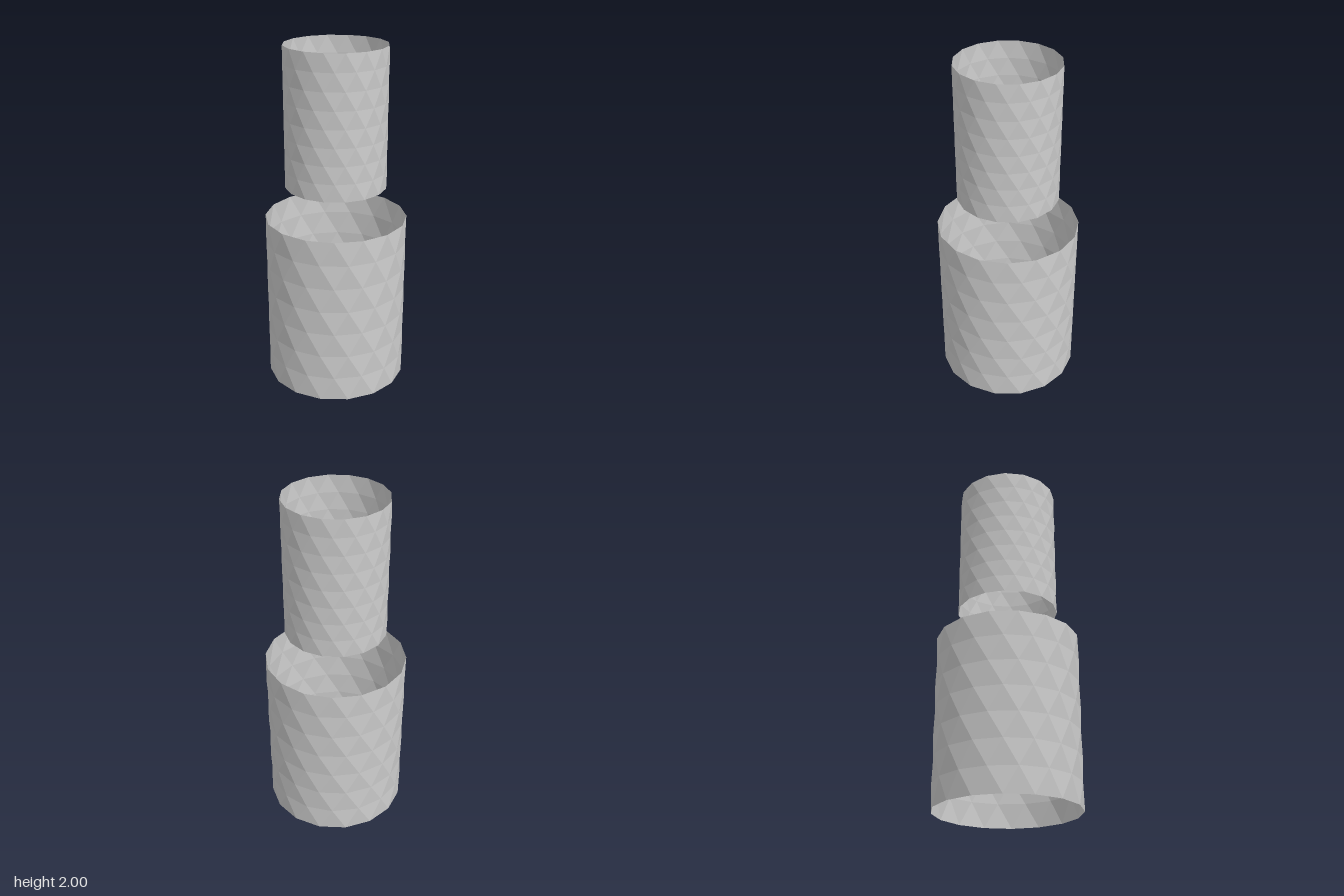
import * as THREE from 'three';

const SIDES = 16;

// Open tube of stacked triangle bands; every other ring is turned by half a side
function triangulatedTube(name, radius, bottom, top, rows, material) {
  const positions = [];
  const index = [];
  for (let row = 0; row <= rows; row++) {
    const y = bottom + (top - bottom) * row / rows;
    for (let i = 0; i < SIDES; i++) {
      const angle = (i + (row % 2) / 2) * 2 * Math.PI / SIDES;
      positions.push(radius * Math.sin(angle), y, radius * Math.cos(angle));
    }
  }
  for (let row = 0; row < rows; row++) {
    for (let i = 0; i < SIDES; i++) {
      const j = (i + 1) % SIDES;
      const a = row * SIDES + i, b = row * SIDES + j;
      const c = a + SIDES, d = b + SIDES;
      if (row % 2 === 0) index.push(a, b, c, b, d, c);
      else index.push(a, b, d, a, d, c);
    }
  }
  const geometry = new THREE.BufferGeometry();
  geometry.setAttribute('position', new THREE.Float32BufferAttribute(positions, 3));
  geometry.setIndex(index);
  geometry.computeVertexNormals();
  const mesh = new THREE.Mesh(geometry, material);
  mesh.name = name;
  return mesh;
}

export function createModel() {
  const material = new THREE.MeshStandardMaterial({
    color: 0xcccccc, flatShading: true, side: THREE.DoubleSide,
  });
  const model = new THREE.Group();
  model.name = 'stackedTubes';
  // Wide tube standing on the ground, narrow one floating above it
  model.add(triangulatedTube('lowerTube', 0.413, 0, 1.003, 7, material));
  model.add(triangulatedTube('upperTube', 0.294, 1.19, 2, 8, material));
  return model;
}
